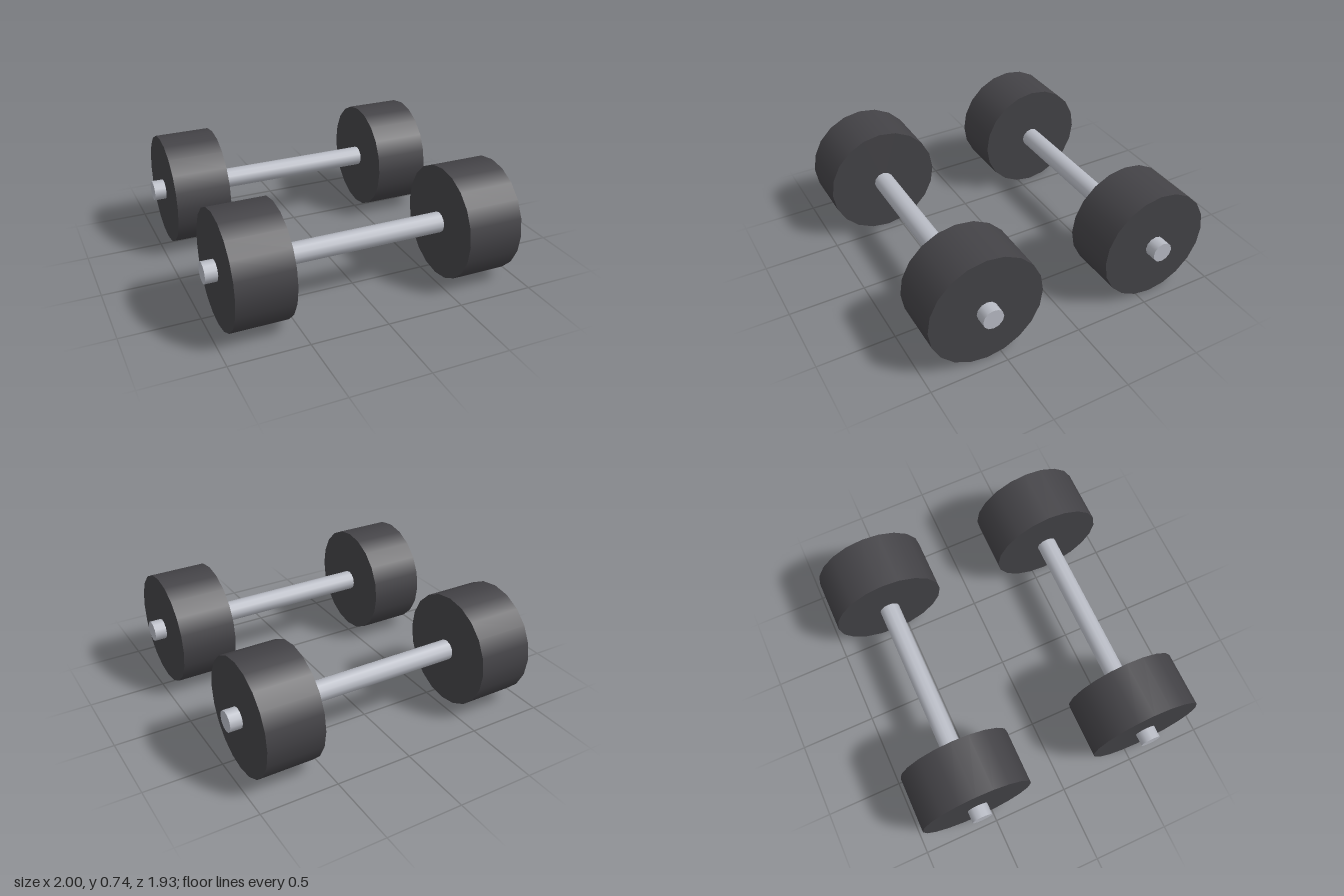
import * as THREE from 'three';

const AXIS_Y = 0.37;

export function createModel() {
  const model = new THREE.Group();
  model.name = 'dumbbellPair';

  const rubber = new THREE.MeshStandardMaterial({ color: 0x434246 });
  const steel = new THREE.MeshStandardMaterial({ color: 0xb7bac3 });

  // Cylinders lying along x
  const weightGeometry = new THREE.CylinderGeometry(0.37, 0.37, 0.365, 20).rotateZ(Math.PI / 2);
  const barGeometry = new THREE.CylinderGeometry(0.067, 0.067, 2, 12).rotateZ(Math.PI / 2);

  // One bar with a weight near each end
  function dumbbell(name, z) {
    const group = new THREE.Group();
    group.name = name;
    group.position.set(0, AXIS_Y, z);

    const bar = new THREE.Mesh(barGeometry, steel);
    bar.name = 'bar';
    group.add(bar);

    for (const side of [1, -1]) {
      const weight = new THREE.Mesh(weightGeometry, rubber);
      weight.name = side > 0 ? 'leftWeight' : 'rightWeight';
      weight.position.x = side * 0.74;
      group.add(weight);
    }
    return group;
  }

  model.add(dumbbell('frontDumbbell', 0.593), dumbbell('backDumbbell', -0.593));
  return model;
}
